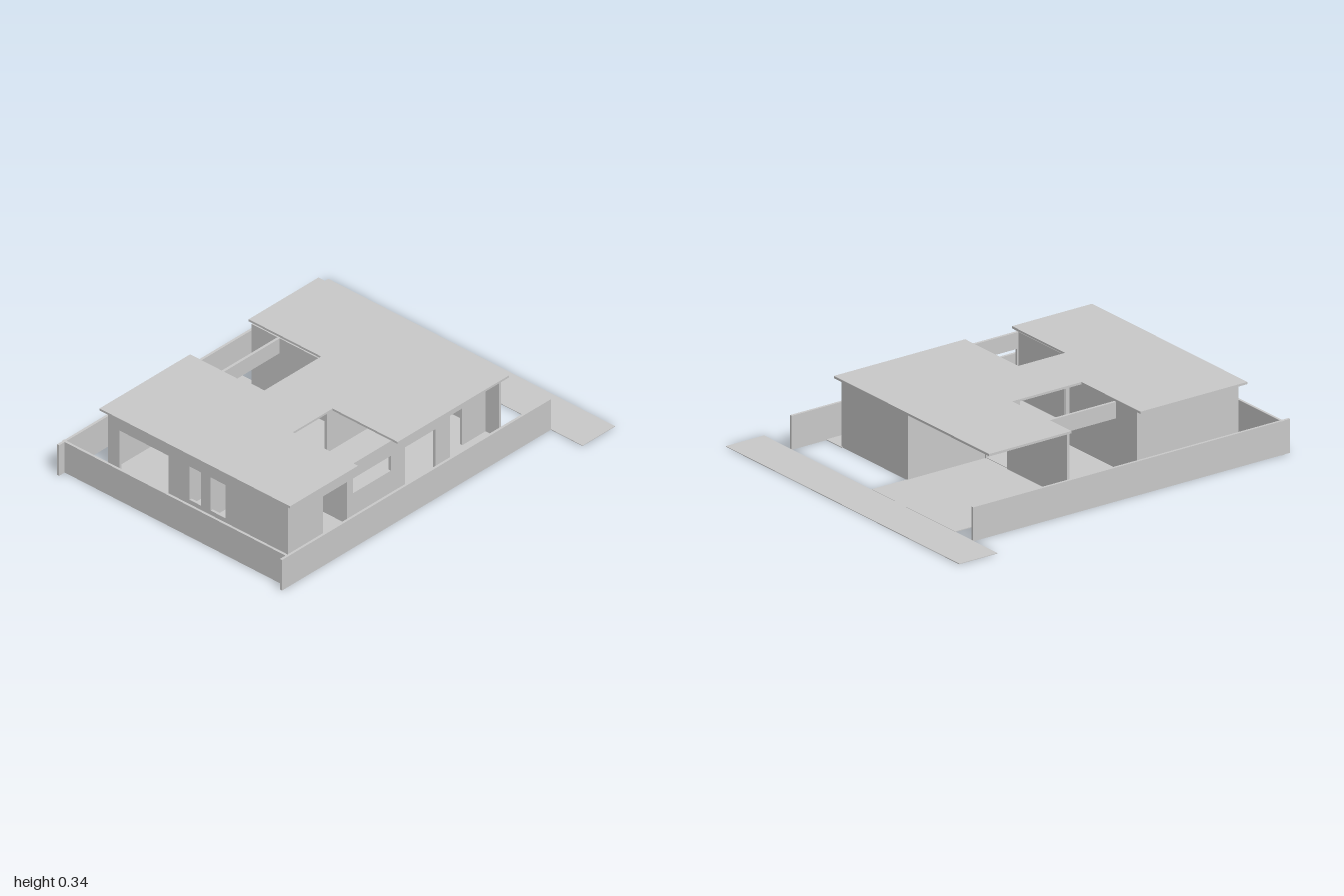
import * as THREE from 'three';

const T = 0.014;   // wall thickness
const TOP = 0.33;  // underside of roof

export function createModel() {
  const house = new THREE.Group();
  house.name = 'house';
  const mat = new THREE.MeshStandardMaterial({ color: 0xcccccc, flatShading: true });

  // Box given by its limits on each axis
  function block(parent, name, x0, x1, y0, y1, z0, z1) {
    const mesh = new THREE.Mesh(new THREE.BoxGeometry(x1 - x0, y1 - y0, z1 - z0), mat);
    mesh.position.set((x0 + x1) / 2, (y0 + y1) / 2, (z0 + z1) / 2);
    mesh.name = name;
    parent.add(mesh);
  }

  // Straight wall from a to b along an axis, centred on c across it.
  // Openings are [start, end, sill, head], in order.
  function wall(name, axis, c, a, b, openings = []) {
    const group = new THREE.Group();
    group.name = name;
    const piece = (part, s, e, y0, y1) => {
      if (e - s < 1e-4 || y1 - y0 < 1e-4) return;
      if (axis === 'x') block(group, part, s, e, y0, y1, c - T / 2, c + T / 2);
      else block(group, part, c - T / 2, c + T / 2, y0, y1, s, e);
    };
    let at = a;
    for (const [s, e, sill, head] of openings) {
      piece('pier', at, s, 0, TOP);
      piece('sill', s, e, 0, sill);
      piece('lintel', s, e, head, TOP);
      at = e;
    }
    piece('pier', at, b, 0, TOP);
    house.add(group);
  }

  // Ground slabs
  const slabs = [
    ['houseFloor', -0.82, 0.14, 0.006, -0.55, 0.555],
    ['entranceFloor', 0.14, 0.575, 0.006, 0.07, 0.555],
    ['drivewaySlab', 0.14, 0.78, 0.004, -0.56, 0.07],
    ['backTerrace', -0.26, 0.155, 0.004, -0.66, -0.55],
    ['sideTerrace', -0.955, -0.82, 0.004, -0.55, -0.09],
    ['porchSlab', 0.24, 0.585, 0.004, 0.555, 0.675],
    ['road', 0.78, 0.995, 0.003, -0.88, 0.88],
  ];
  for (const [name, x0, x1, h, z0, z1] of slabs) block(house, name, x0, x1, 0, h, z0, z1);

  // Boundary walls
  block(house, 'frontBoundaryWall', -1, 0.78, 0, 0.165, 0.672, 0.685);
  block(house, 'backBoundaryWall', -1, 0.78, 0, 0.165, -0.697, -0.684);
  block(house, 'sideBoundaryWall', -0.963, -0.95, 0, 0.165, -0.7, 0.685);

  // Outer walls
  wall('frontWall', 'x', 0.549, -0.82, 0.25, [
    [-0.59, -0.43, 0, 0.25], [-0.39, -0.14, 0.17, 0.25], [-0.045, 0.155, 0, 0.25]]);
  wall('porchSideWall', 'z', 0.243, 0.47, 0.556);
  wall('entranceWall', 'x', 0.477, 0.243, 0.575, [[0.32, 0.41, 0, 0.205]]);
  wall('drivewaySideWall', 'z', 0.572, 0.065, 0.565);
  wall('carportEndWall', 'x', 0.072, -0.05, 0.575);
  wall('carportInnerWall', 'z', 0.138, -0.55, 0.072, [[-0.1, 0.06, 0, 0.205]]);
  wall('backBedroomWall', 'x', -0.543, -0.82, -0.25);
  wall('gardenSideWall', 'z', -0.813, -0.55, 0.556, [
    [-0.48, -0.18, 0, 0.25], [-0.05, 0.02, 0.07, 0.25], [0.08, 0.17, 0.07, 0.25]]);
  wall('backPatioWall', 'x', -0.385, -0.25, 0.138, [[-0.25, 0.138, 0, 0.25]]);

  // Inner partitions
  wall('bedroomPartition', 'z', -0.257, -0.55, -0.04);
  wall('courtyardSideWall', 'z', -0.405, 0.195, 0.549);
  wall('bathPartitionFront', 'x', 0.2, -0.82, -0.4, [[-0.52, -0.43, 0, 0.205]]);
  wall('bathPartitionMiddle', 'x', 0.05, -0.82, -0.46);
  wall('bathPartitionBack', 'x', -0.09, -0.82, -0.25, [[-0.38, -0.29, 0, 0.205]]);
  wall('bathPartitionSide', 'z', -0.46, -0.09, 0.2, [[-0.06, 0.02, 0, 0.205], [0.08, 0.16, 0, 0.205]]);

  // Flat roof with a notch over each courtyard; shape y maps to -z
  const plan = [
    [-0.85, 0.595], [-0.4, 0.595], [-0.4, 0.195], [-0.137, 0.195], [-0.137, 0.595], [0.6, 0.595],
    [0.6, -0.575], [0.138, -0.575], [0.138, -0.13], [-0.25, -0.13], [-0.25, -0.575], [-0.85, -0.575],
  ];
  const shape = new THREE.Shape(plan.map(([x, z]) => new THREE.Vector2(x, -z)));
  const roofGeo = new THREE.ExtrudeGeometry(shape, { depth: 0.011, bevelEnabled: false });
  roofGeo.rotateX(-Math.PI / 2);
  const roof = new THREE.Mesh(roofGeo, mat);
  roof.position.y = TOP;
  roof.name = 'roof';
  house.add(roof);

  return house;
}
